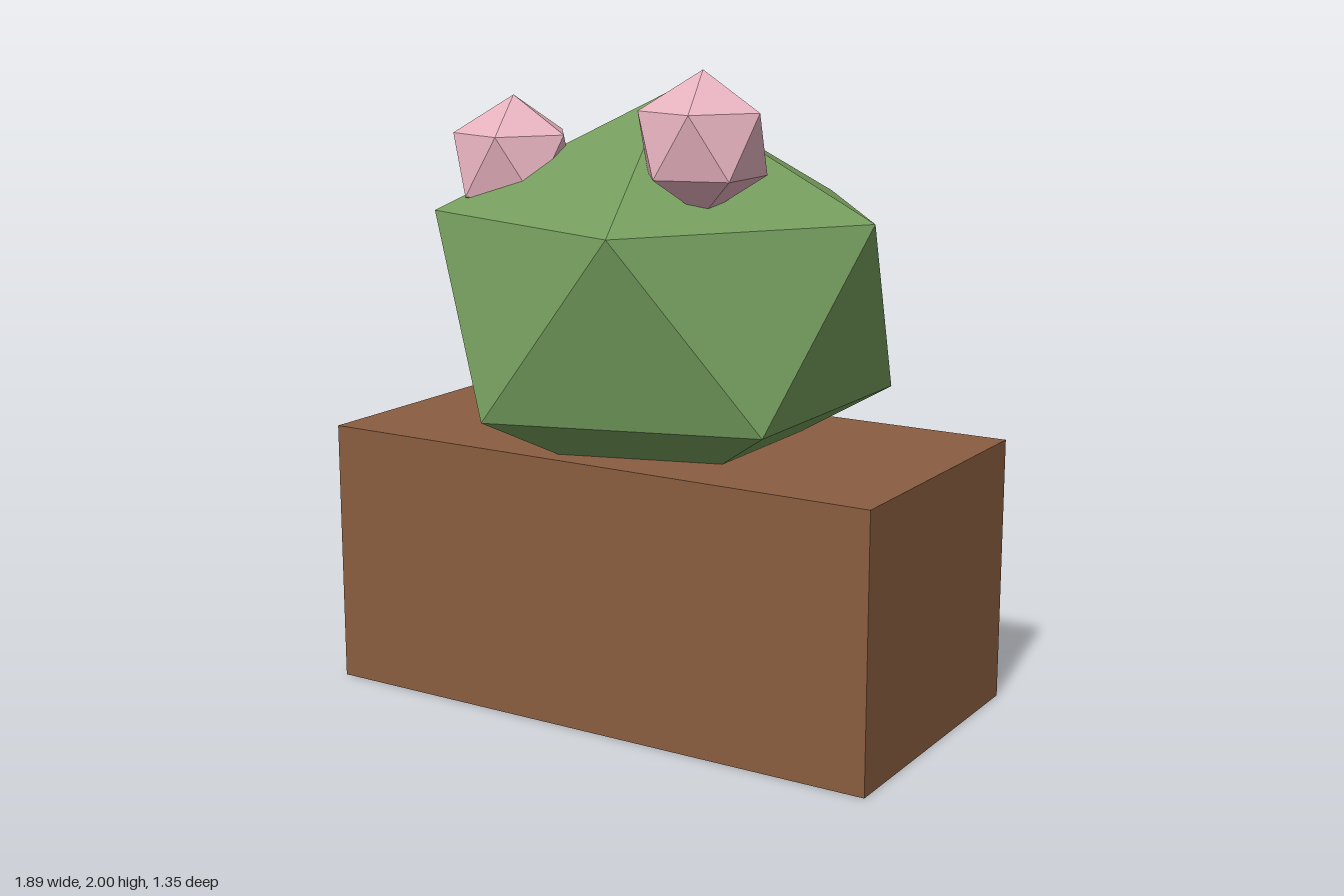
import * as THREE from 'three';

const mat = (name, color) => {
  const m = new THREE.MeshStandardMaterial({ color, flatShading: true });
  m.name = name;
  return m;
};

// Twenty-sided ball standing on a point, with one upper-ring corner towards +x
function facetedBall(radius, height) {
  const g = new THREE.IcosahedronGeometry(1, 0);
  g.rotateZ(-Math.atan(2 / (1 + Math.sqrt(5))));
  g.scale(radius, height, radius);
  g.computeVertexNormals();
  return g;
}

export function createModel() {
  const model = new THREE.Group();
  model.name = 'pottedPlant';
  const brown = mat('terracottaBrown', 0x8a5d40);
  const green = mat('leafGreen', 0x759d5d);
  const pink = mat('blossomPink', 0xe6b2be);

  const add = (name, geometry, material, x, y, z) => {
    const mesh = new THREE.Mesh(geometry, material);
    mesh.name = name;
    mesh.position.set(x, y, z);
    model.add(mesh);
  };

  // Planter box
  add('planter', new THREE.BoxGeometry(1.89, 0.84, 0.946), brown, 0, 0.42, 0);

  // Squat shrub sunk into the planter
  add('shrub', facetedBall(0.795, 0.64), green, 0, 1.265, 0);

  // Blossoms
  const blossom = facetedBall(0.208, 0.208);
  add('blossomLeft', blossom, pink, 0.315, 1.792, 0.315);
  add('blossomRight', blossom, pink, -0.424, 1.687, 0.21);

  return model;
}
